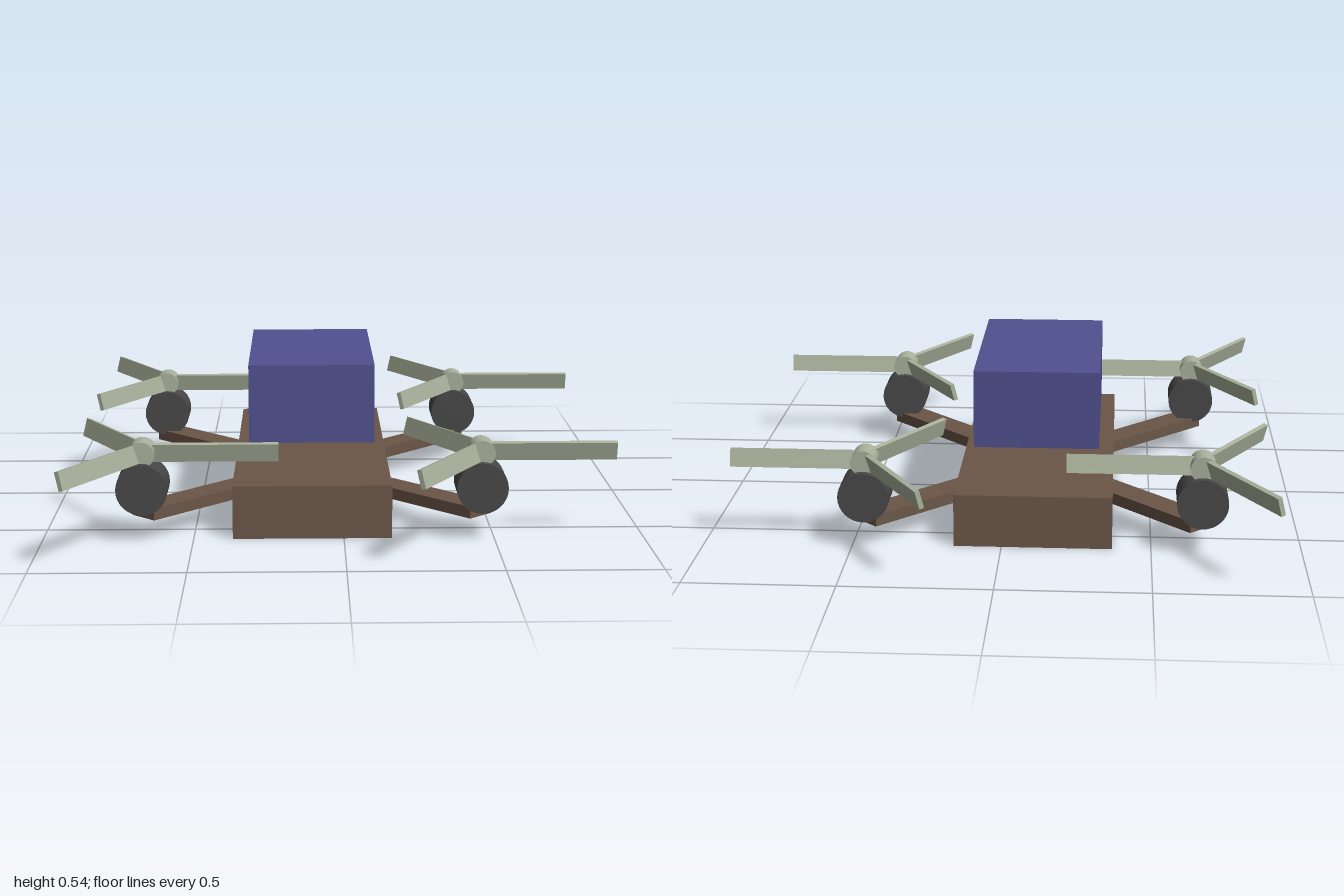
import * as THREE from 'three';

const mat = (color) => new THREE.MeshStandardMaterial({ color });

export function createModel() {
  const brown = mat(0x6b5648);
  const blue = mat(0x50508f);
  const dark = mat(0x484848);
  const green = mat(0xa9b29c);
  const model = new THREE.Group();
  model.name = 'quadcopter';

  const add = (parent, name, geometry, material, x, y, z) => {
    const mesh = new THREE.Mesh(geometry, material);
    mesh.name = name;
    mesh.position.set(x, y, z);
    parent.add(mesh);
    return mesh;
  };

  // Flat body slab and the payload box above it
  const cx = -0.105;
  add(model, 'body', new THREE.BoxGeometry(0.53, 0.18, 1.245), brown, cx, 0.09, 0);
  add(model, 'payloadBox', new THREE.BoxGeometry(0.43, 0.27, 0.75), blue, cx, 0.405, 0);

  // Shared rotor parts: motor and hub lie along z
  const motorGeo = new THREE.CylinderGeometry(0.085, 0.085, 0.135, 32).rotateX(Math.PI / 2);
  const hubGeo = new THREE.CylinderGeometry(0.043, 0.043, 0.088, 24).rotateX(Math.PI / 2);

  // Blade starts at the hub centre, pitched about its own length
  const bladeLength = 0.45;
  const bladeGeo = new THREE.BoxGeometry(bladeLength, 0.063, 0.016)
    .rotateX(THREE.MathUtils.degToRad(15))
    .translate(bladeLength / 2, 0, 0);

  for (const sx of [-1, 1]) {
    for (const sz of [-1, 1]) {
      const rotor = new THREE.Group();
      rotor.name = (sz > 0 ? 'front' : 'back') + (sx > 0 ? 'Left' : 'Right') + 'Rotor';
      const x = cx + sx * 0.561;
      const z = sz * 0.605;

      // Diagonal arm from inside the body to below the motor
      const dx = sx * 0.38;
      const dz = sz * 0.4;
      const armGeo = new THREE.BoxGeometry(Math.hypot(dx, dz), 0.04, 0.105);
      const arm = add(rotor, 'arm', armGeo, brown, x - dx / 2, 0.09, z - dz / 2);
      arm.rotation.y = Math.atan2(-dz, dx);

      add(rotor, 'motor', motorGeo, dark, x, 0.18, z);

      // Three-bladed propeller
      const propeller = new THREE.Group();
      propeller.name = 'propeller';
      propeller.position.set(x, 0.293, z);
      add(propeller, 'hub', hubGeo, green, 0, 0, 0);
      for (let i = 0; i < 3; i++) {
        add(propeller, 'blade', bladeGeo, green, 0, 0, 0).rotation.y = (i * Math.PI * 2) / 3;
      }
      rotor.add(propeller);
      model.add(rotor);
    }
  }
  return model;
}
